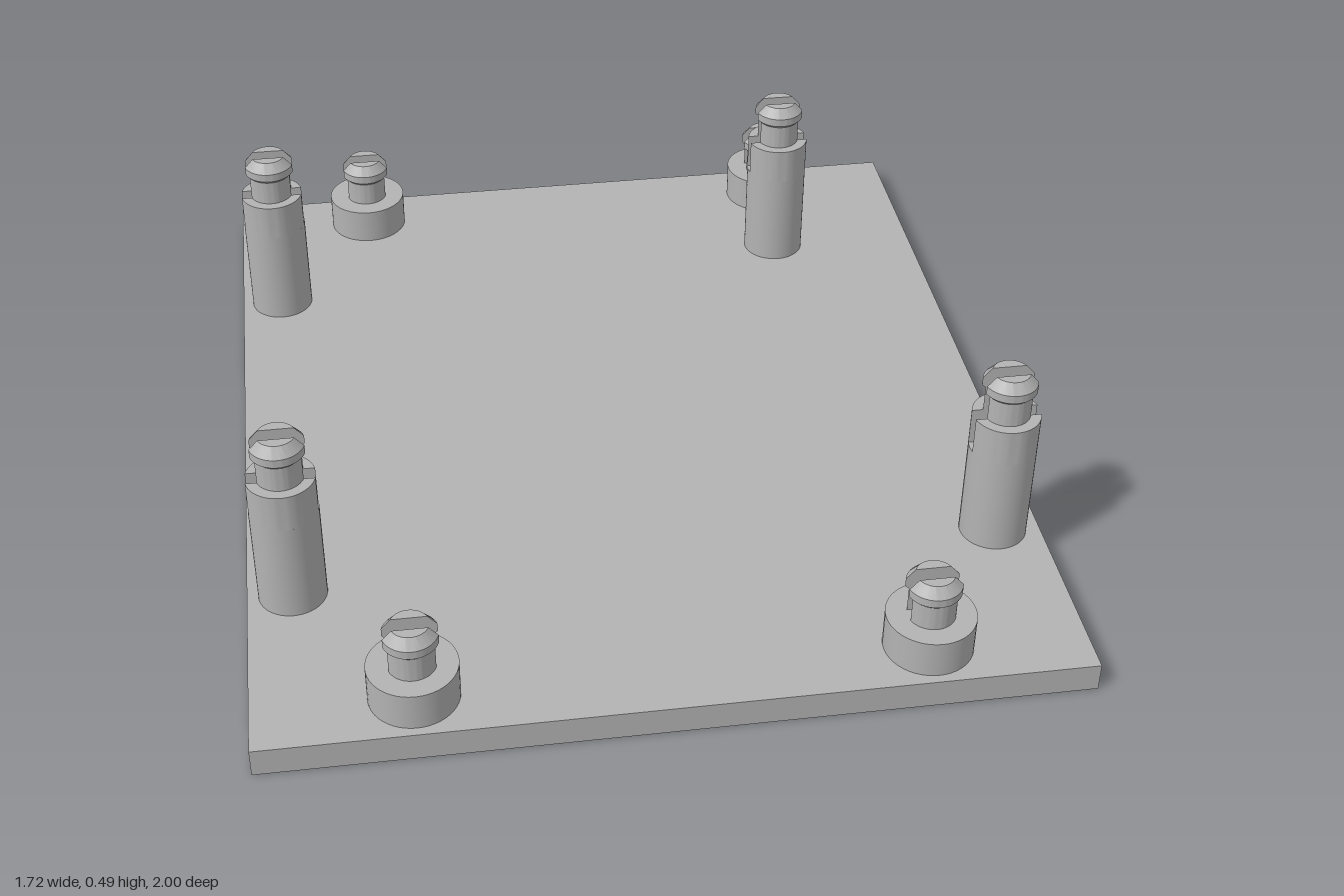
import * as THREE from 'three';
import { toCreasedNormals } from 'three/addons/utils/BufferGeometryUtils.js';

const grey = new THREE.MeshStandardMaterial({ color: 0xb3b3b3 });
grey.name = 'plain grey';

const PLATE_TOP = 0.064;
const HALF_SLOT = 0.016;
const ARC = 24;

// Half of a slotted round pin: circle segments (z >= HALF_SLOT) stacked along a [radius, y] profile
function halfPinGeometry(profile) {
  const n = ARC + 1;
  const pos = [];
  const index = [];
  for (const [r, y] of profile) {
    const a = Math.asin(HALF_SLOT / r);
    for (let j = 0; j < n; j++) {
      const t = a + (Math.PI - 2 * a) * j / ARC;
      pos.push(r * Math.cos(t), y, r * Math.sin(t));
    }
  }
  // curved side, closed by the flat slot wall
  for (let i = 0; i < profile.length - 1; i++) {
    for (let j = 0; j < n; j++) {
      const k = (j + 1) % n;
      const A = i * n + j, B = i * n + k, C = A + n, D = B + n;
      index.push(A, C, D, A, D, B);
    }
  }
  // top cap
  const top = (profile.length - 1) * n;
  for (let j = 1; j < n - 1; j++) index.push(top, top + j + 1, top + j);
  const g = new THREE.BufferGeometry();
  g.setAttribute('position', new THREE.Float32BufferAttribute(pos, 3));
  g.setIndex(index);
  return toCreasedNormals(g, 0.5);
}

// Snap head profile above a shoulder height
const headProfile = (y) => [
  [0.05, y], [0.05, y + 0.058], [0.058, y + 0.066],
  [0.058, y + 0.085], [0.04, y + 0.107],
];

function createStandoff(name, radius, shoulder, slotBottom) {
  const group = new THREE.Group();
  group.name = name;
  const height = slotBottom - PLATE_TOP;
  const base = new THREE.Mesh(new THREE.CylinderGeometry(radius, radius, height, 48), grey);
  base.position.y = PLATE_TOP + height / 2;
  base.name = 'standoffBase';
  group.add(base);

  const profile = headProfile(shoulder);
  // the slot may reach down into the post below the shoulder
  if (slotBottom < shoulder) profile.unshift([radius, slotBottom], [radius, shoulder]);
  const geometry = halfPinGeometry(profile);
  for (const side of [0, 1]) {
    const half = new THREE.Mesh(geometry, grey);
    half.rotation.y = side * Math.PI;
    half.name = side ? 'backProng' : 'frontProng';
    group.add(half);
  }
  return group;
}

export function createModel() {
  const model = new THREE.Group();
  model.name = 'mountingPlate';

  const plate = new THREE.Mesh(new THREE.BoxGeometry(1.72, PLATE_TOP, 2), grey);
  plate.position.y = PLATE_TOP / 2;
  plate.name = 'basePlate';
  model.add(plate);

  // tall posts
  for (const [x, z] of [[-0.763, -0.55], [0.505, -0.637], [-0.763, 0.548], [0.758, 0.548]]) {
    const post = createStandoff('tallStandoff', 0.073, 0.381, 0.296);
    post.position.set(x, 0, z);
    model.add(post);
  }

  // short posts near the corners
  for (const x of [-0.53, 0.526]) {
    for (const z of [-0.89, 0.887]) {
      const post = createStandoff('shortStandoff', 0.094, 0.149, 0.149);
      post.position.set(x, 0, z);
      model.add(post);
    }
  }
  return model;
}
